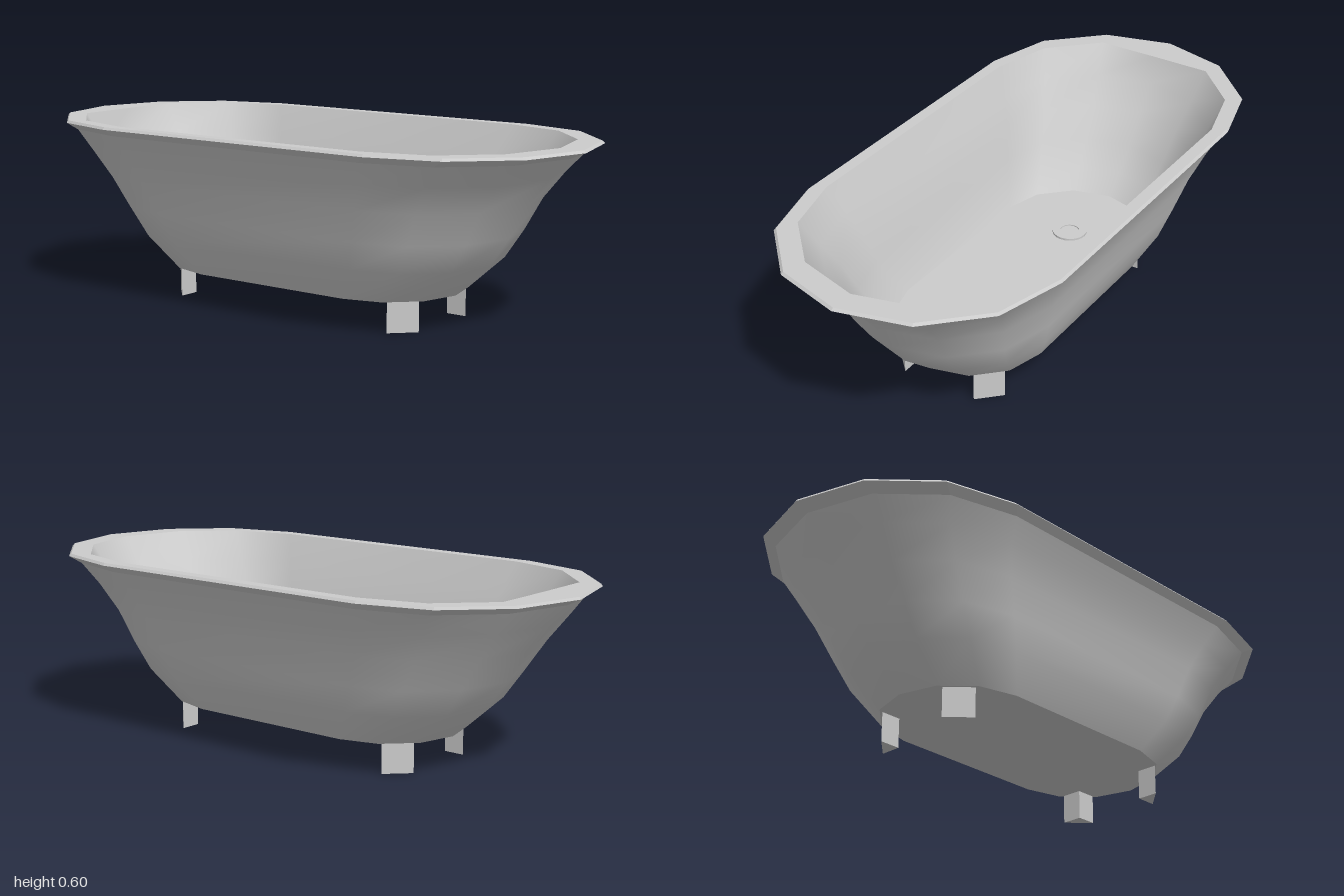
import * as THREE from 'three';

const grey = new THREE.MeshStandardMaterial({ color: 0xcccccc });
const greyFlat = new THREE.MeshStandardMaterial({ color: 0xcccccc, flatShading: true });

// One 14-point stadium ring: half width w, height y, front end, back end.
// tip optionally cuts off the rear point to make that end blunt.
function ring([w, y, front, back, tip]) {
  const pts = [];
  for (let end = 0; end < 2; end++) {
    const centre = end === 0 ? front - w : back + w;
    for (let i = 0; i <= 6; i++) {
      const a = Math.PI * (end + i / 6);
      let z = centre + w * Math.sin(a);
      if (end === 1 && i === 3 && tip !== undefined) z = tip;
      pts.push([w * Math.cos(a), y, z]);
    }
  }
  return pts;
}

// Skin a series of rings; visible side is outward when they rise.
function loft(name, sections, material = grey) {
  const rings = sections.map(ring);
  const n = rings[0].length;
  const index = [];
  for (let k = 0; k < rings.length - 1; k++) {
    for (let i = 0; i < n; i++) {
      const a = k * n + i, b = k * n + (i + 1) % n;
      index.push(a, a + n, b, b, a + n, b + n);
    }
  }
  const geo = new THREE.BufferGeometry();
  geo.setAttribute('position', new THREE.Float32BufferAttribute(rings.flat(2), 3));
  geo.setIndex(index);
  geo.computeVertexNormals();
  const mesh = new THREE.Mesh(geo, material);
  mesh.name = name;
  return mesh;
}

export function createModel() {
  const model = new THREE.Group();
  model.name = 'bathtub';

  // Key rings: [half width, height, front z, back z]
  const base = [0.255, 0.1, 0.55, -0.555];
  const underLip = [0.45, 0.57, 0.945, -0.955];
  const lipEdge = [0.473, 0.592, 0.998, -1];
  const rimOuter = [0.466, 0.6, 0.99, -0.995];
  const rimInner = [0.425, 0.6, 0.91, -0.925, -0.87];
  const floorEdge = [0.265, 0.155, 0.565, -0.58];

  model.add(
    loft('outerWall', [
      base,
      [0.315, 0.21, 0.675, -0.68],
      [0.345, 0.305, 0.74, -0.75],
      [0.375, 0.41, 0.8, -0.825],
      [0.412, 0.5, 0.875, -0.9],
      underLip,
    ]),
    loft('lip', [underLip, lipEdge, rimOuter], greyFlat),
    loft('rimTop', [rimOuter, rimInner], greyFlat),
    loft('innerWall', [
      rimInner,
      [0.385, 0.5, 0.835, -0.855],
      [0.35, 0.41, 0.765, -0.785],
      [0.32, 0.305, 0.705, -0.715],
      [0.293, 0.22, 0.645, -0.65],
      floorEdge,
    ]),
    loft('basinFloor', [floorEdge, [0, 0.155, 0.3, -0.315]]),
    loft('underside', [[0, 0.1, 0.295, -0.3], base]),
  );

  // Drain: low ring around a shallow plug
  const drainProfile = [[0, 0.003], [0.033, 0.003], [0.033, 0.007], [0.06, 0.007], [0.06, 0]];
  const drain = new THREE.Mesh(
    new THREE.LatheGeometry(drainProfile.map(([r, y]) => new THREE.Vector2(r, y)).reverse(), 24),
    greyFlat);
  drain.name = 'drain';
  drain.position.set(0, 0.155, -0.3);
  model.add(drain);

  // Triangular feet, long face turned outward to each corner
  for (const sx of [1, -1]) {
    for (const sz of [1, -1]) {
      const corners = [[0.135, 0.43], [0.207, 0.43], [0.135, 0.502]]
        .map(([x, z]) => new THREE.Vector2(sx * x, -sz * z));
      const geo = new THREE.ExtrudeGeometry(new THREE.Shape(corners), { depth: 0.1, bevelEnabled: false });
      geo.rotateX(-Math.PI / 2);
      const foot = new THREE.Mesh(geo, greyFlat);
      foot.name = (sz > 0 ? 'front' : 'back') + (sx > 0 ? 'Left' : 'Right') + 'Foot';
      model.add(foot);
    }
  }
  return model;
}
